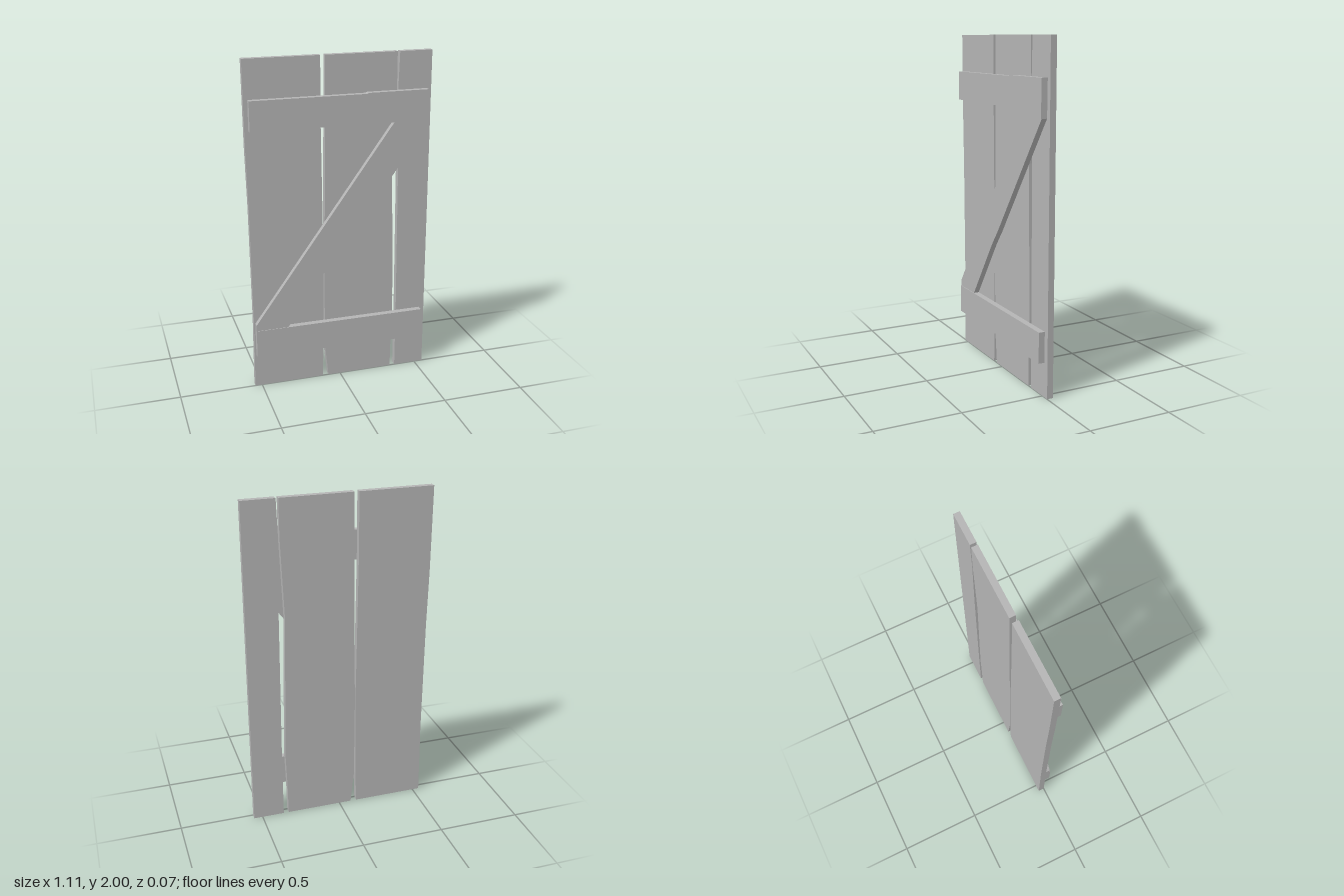
import * as THREE from 'three';

const DEPTH = 0.037;

// Flat board cut from an outline and extruded along z
function board(name, points, z, depth, material) {
  const shape = new THREE.Shape(points.map(([x, y]) => new THREE.Vector2(x, y)));
  const geometry = new THREE.ExtrudeGeometry(shape, { depth, bevelEnabled: false });
  const mesh = new THREE.Mesh(geometry, material);
  mesh.name = name;
  mesh.position.z = z;
  return mesh;
}

export function createModel() {
  const door = new THREE.Group();
  door.name = 'plankDoor';
  const wood = new THREE.MeshStandardMaterial({ color: 0xb4b4b4 });
  wood.name = 'plain grey';

  // Upright planks with uneven edges, outlined counter-clockwise
  const planks = {
    rightPlank: [[-0.542, 0], [-0.113, 0], [-0.106, 0.2], [-0.102, 0.75], [-0.106, 1], [-0.114, 1.6],
      [-0.114, 2], [-0.556, 2], [-0.552, 1.5], [-0.544, 1.15], [-0.538, 0.45]],
    middlePlank: [[-0.075, 0], [0.333, 0], [0.336, 0.2], [0.343, 0.4], [0.335, 0.8], [0.323, 1.3],
      [0.342, 1.78], [0.342, 2], [-0.085, 2], [-0.088, 1.6], [-0.094, 1], [-0.098, 0.7], [-0.096, 0.2]],
    leftPlank: [[0.365, 0], [0.553, 0], [0.553, 2], [0.357, 2], [0.35, 1.78], [0.36, 1.3], [0.366, 0.4]],
  };
  for (const [name, points] of Object.entries(planks)) {
    door.add(board(name, points, -DEPTH, DEPTH, wood));
  }

  // Cross rails on the front
  door.add(board('topRail', [[-0.53, 1.6], [0.32, 1.6], [0.522, 1.565], [0.525, 1.78], [0.16, 1.78],
    [0.15, 1.775], [-0.53, 1.775]], 0, DEPTH, wood));
  door.add(board('bottomRail', [[-0.53, 0.21], [0.07, 0.21], [0.08, 0.203], [0.517, 0.203],
    [0.52, 0.385], [-0.53, 0.385]], 0, DEPTH, wood));

  // Diagonal brace, slightly thinner than the rails
  door.add(board('diagonalBrace', [[-0.53, 0.385], [-0.335, 0.385], [-0.1, 0.722], [-0.065, 0.77],
    [0, 0.85], [0.522, 1.565], [0.32, 1.6], [-0.53, 0.42]], 0, 0.033, wood));

  return door;
}
